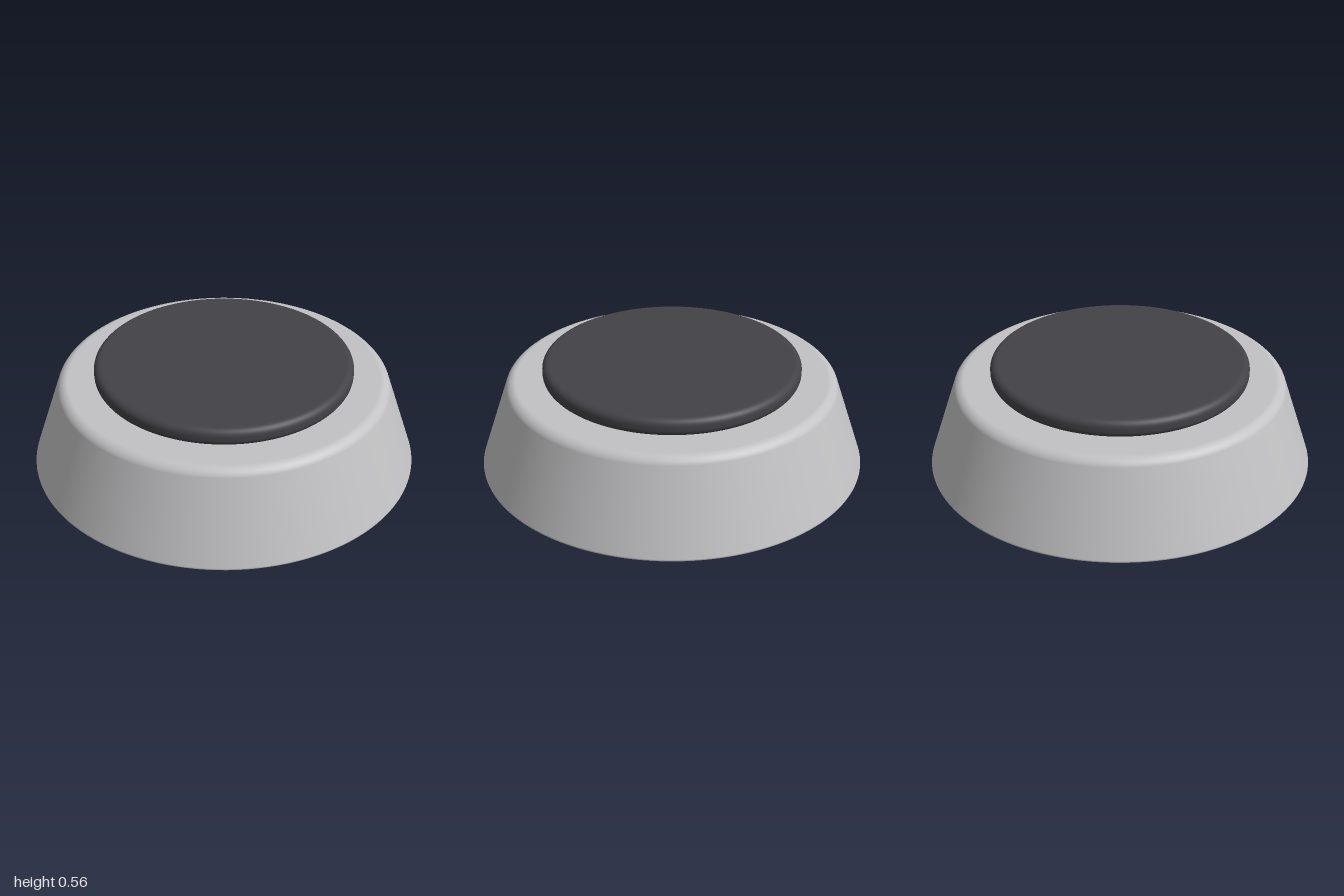
import * as THREE from 'three';

// Turned solid from [radius, height, cut] corners; each cut rounds the corner.
function roundedLathe(corners) {
  const path = new THREE.Path();
  const v = corners.map(([x, y]) => new THREE.Vector2(x, y));
  path.moveTo(v[0].x, v[0].y);
  for (let i = 1; i < v.length - 1; i++) {
    const cut = corners[i][2];
    const toward = (other, d) => v[i].clone().add(other.clone().sub(v[i]).setLength(d));
    const a = toward(v[i - 1], cut), b = toward(v[i + 1], cut);
    const ca = toward(v[i - 1], cut * 0.45), cb = toward(v[i + 1], cut * 0.45);
    path.lineTo(a.x, a.y);
    path.bezierCurveTo(ca.x, ca.y, cb.x, cb.y, b.x, b.y);
  }
  const end = v[v.length - 1];
  path.lineTo(end.x, end.y);
  const points = path.getPoints(8);
  points[0].x = points[points.length - 1].x = 0;
  return new THREE.LatheGeometry(points, 128);
}

export function createModel() {
  const group = new THREE.Group();
  group.name = 'roundButton';

  const lightGrey = new THREE.MeshStandardMaterial({ color: 0xc2c2c4 });
  lightGrey.name = 'lightGrey';
  const charcoal = new THREE.MeshStandardMaterial({ color: 0x434247 });
  charcoal.name = 'charcoal';

  // Tapered housing with a soft top edge
  const housing = new THREE.Mesh(
    roundedLathe([[0, 0, 0], [1.003, 0, 0.015], [0.843, 0.47, 0.04], [0, 0.47, 0]]),
    lightGrey
  );
  housing.name = 'housing';

  // Flat disc cap with rounded rims
  const cap = new THREE.Mesh(
    roundedLathe([[0, 0.468, 0], [0.665, 0.468, 0.037], [0.665, 0.56, 0.037], [0, 0.56, 0]]),
    charcoal
  );
  cap.name = 'cap';

  group.add(housing, cap);
  return group;
}
